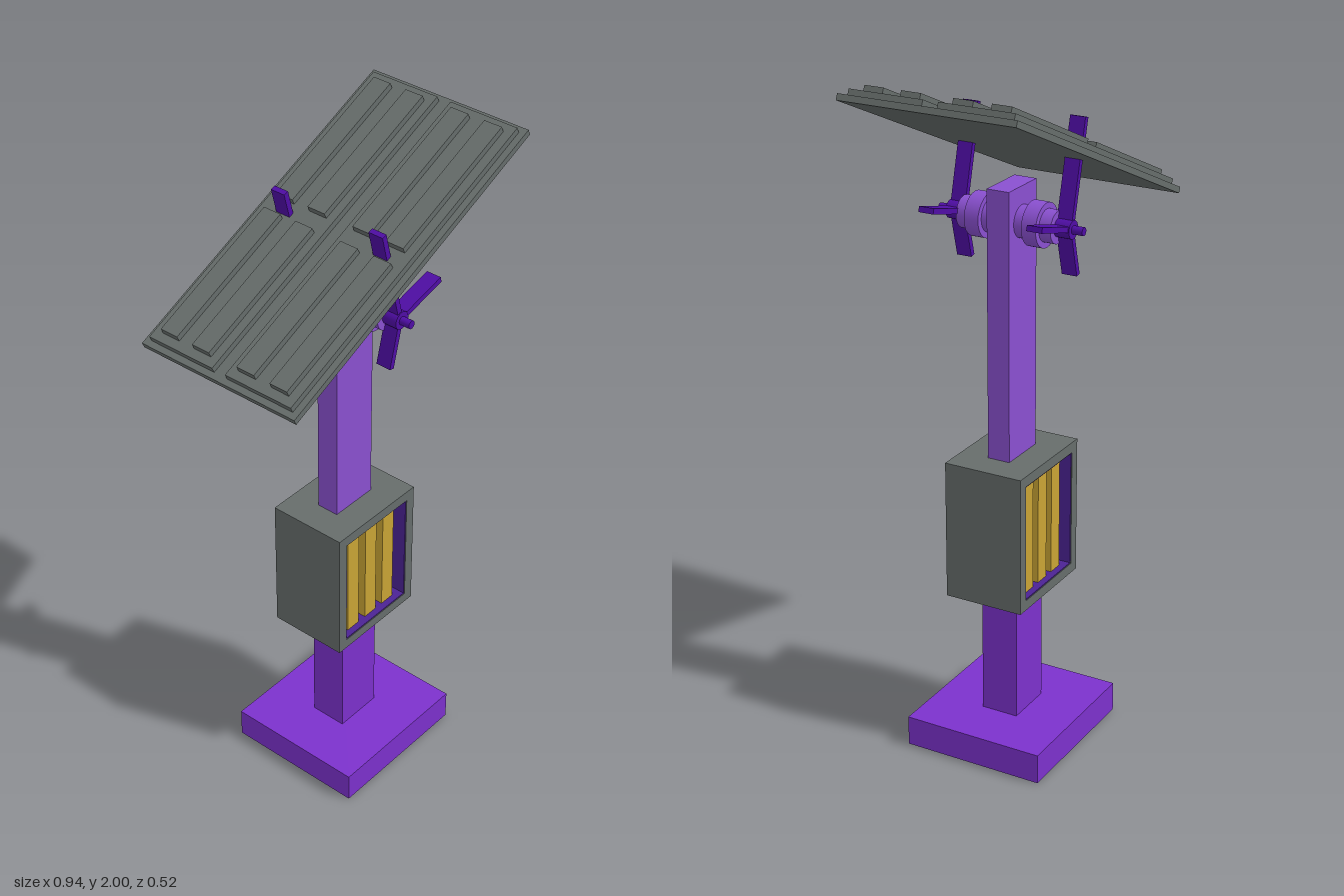
import * as THREE from 'three';

export function createModel() {
  const model = new THREE.Group();
  model.name = 'solarPost';
  const mat = (name, color) => {
    const m = new THREE.MeshStandardMaterial({ color });
    m.name = name;
    return m;
  };
  const grey = mat('grey', 0x666d6b);
  const purple = mat('purple', 0x7c31cc);
  const lightPurple = mat('lightPurple', 0x8a50d0);
  const deepPurple = mat('deepPurple', 0x4f0da5);
  const innerPurple = mat('innerPurple', 0x4c2394);
  const yellow = mat('yellow', 0xc9a435);

  // Box given by its extents on each axis
  const box = (name, m, [x0, x1], [y0, y1], [z0, z1], parent = model) => {
    const mesh = new THREE.Mesh(new THREE.BoxGeometry(x1 - x0, y1 - y0, z1 - z0), m);
    mesh.position.set((x0 + x1) / 2, (y0 + y1) / 2, (z0 + z1) / 2);
    mesh.name = name;
    parent.add(mesh);
    return mesh;
  };

  // Base and two-stage post
  box('base', purple, [-0.2, 0.267], [0, 0.09], [-0.215, 0.215]);
  box('lowerPost', purple, [-0.042, 0.108], [0.09, 0.482], [-0.056, 0.056]);
  box('upperPost', lightPurple, [-0.042, 0.108], [0.895, 1.675], [-0.034, 0.034]);

  // Battery cabinet: frame open at front and back, lined, with a core plate
  const cabinet = new THREE.Group();
  cabinet.name = 'cabinet';
  model.add(cabinet);
  const X = [-0.131, 0.197], Y = [0.482, 0.895], Z = [-0.12, 0.12];
  const x = [-0.1, 0.166], y = [0.512, 0.864];
  box('cabinetFloor', grey, X, [Y[0], y[0]], Z, cabinet);
  box('cabinetRoof', grey, X, [y[1], Y[1]], Z, cabinet);
  box('cabinetWall', grey, [X[0], x[0]], y, Z, cabinet);
  box('cabinetWall', grey, [x[1], X[1]], y, Z, cabinet);
  const zl = [-0.118, 0.118], t = 0.003;
  box('lining', innerPurple, x, [y[0], y[0] + t], zl, cabinet);
  box('lining', innerPurple, x, [y[1] - t, y[1]], zl, cabinet);
  box('lining', innerPurple, [x[0], x[0] + t], y, zl, cabinet);
  box('lining', innerPurple, [x[1] - t, x[1]], y, zl, cabinet);
  box('corePlate', innerPurple, x, y, [-0.045, 0.045], cabinet);
  for (let i = -1; i <= 1; i++) {
    const cx = 0.033 + i * 0.077;
    box('batteryBar', yellow, [cx - 0.024, cx + 0.024], [y[0] + t, y[1] - t], [-0.098, 0.098], cabinet);
  }

  // Tilt joint on both sides of the post: stepped hub, pin and three arms
  for (const s of [-1, 1]) {
    const joint = new THREE.Group();
    joint.name = s > 0 ? 'frontJoint' : 'backJoint';
    joint.position.set(0.037, 1.577, 0);
    model.add(joint);
    const disc = (name, m, r, z0, z1) => {
      const mesh = new THREE.Mesh(new THREE.CylinderGeometry(r, r, z1 - z0, 24), m);
      mesh.rotation.x = Math.PI / 2;
      mesh.position.z = s * (z0 + z1) / 2;
      mesh.name = name;
      joint.add(mesh);
    };
    disc('hubNeck', lightPurple, 0.046, 0.03, 0.066);
    disc('hubRing', lightPurple, 0.063, 0.066, 0.11);
    disc('hubCap', lightPurple, 0.046, 0.11, 0.145);
    disc('pin', deepPurple, 0.026, 0.14, 0.19);
    disc('pinTip', deepPurple, 0.012, 0.19, 0.222);
    for (const [deg, len] of [[15, 0.172], [104.5, 0.298], [255.5, 0.142]]) {
      const arm = new THREE.Group();
      arm.name = 'arm';
      arm.rotation.z = THREE.MathUtils.degToRad(deg);
      arm.position.z = s * 0.164;
      box('armBlade', deepPurple, [0, len], [-0.008, 0.008], [-0.023, 0.023], arm);
      joint.add(arm);
    }
  }

  // Tilted solar panel in three stacked layers
  const panel = new THREE.Group();
  panel.name = 'solarPanel';
  panel.position.set(0.0025, 1.761, 0);
  panel.rotation.z = THREE.MathUtils.degToRad(24);
  model.add(panel);
  const h = 0.018;
  box('panelSlab', grey, [-0.508, 0.508], [0, h], [-0.26, 0.26], panel);
  for (const s of [-1, 1]) {
    const span = (a, b) => (s > 0 ? [a, b] : [-b, -a]);
    box('panelTray', grey, [-0.49, 0.49], [h, 2 * h], span(0.022, 0.241), panel);
    for (const z of [[0.047, 0.105], [0.157, 0.214]]) {
      box('panelStrip', grey, [-0.464, -0.026], [2 * h, 3 * h], span(...z), panel);
      box('panelStrip', grey, [0.026, 0.464], [2 * h, 3 * h], span(...z), panel);
    }
  }
  return model;
}
